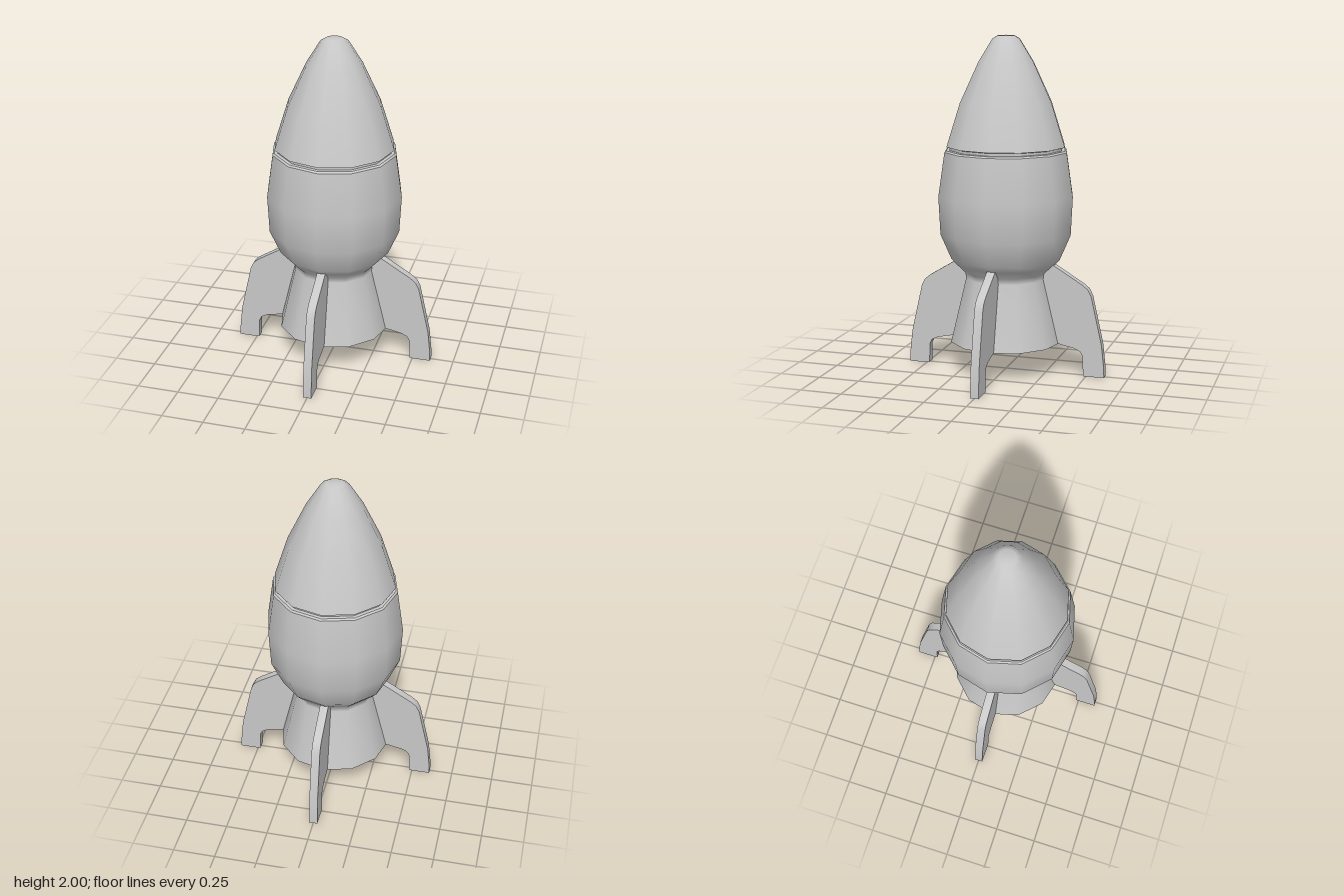
import * as THREE from 'three';
import { toCreasedNormals } from 'three/addons/utils/BufferGeometryUtils.js';

export function createModel() {
  const rocket = new THREE.Group();
  rocket.name = 'rocket';
  const grey = new THREE.MeshStandardMaterial({ color: 0xc8c8c8 });
  grey.name = 'grey';

  const add = (name, geometry) => {
    const mesh = new THREE.Mesh(geometry, grey);
    mesh.name = name;
    rocket.add(mesh);
    return mesh;
  };

  // Twelve-sided turned part; profile runs bottom to top as [radius, height]
  const turned = (name, profile) =>
    add(name, new THREE.LatheGeometry(profile.map(([r, y]) => new THREE.Vector2(r, y)), 12));

  turned('nozzleBase', [[0, 0.185], [0.336, 0.185]]);
  turned('hull', [
    [0.336, 0.185], [0.243, 0.57], [0.247, 0.605], [0.295, 0.652], [0.33, 0.69],
    [0.395, 0.84], [0.406, 1.065], [0.368, 1.325],
  ]);

  // Groove between hull and nose, kept in separate strips for sharp edges
  turned('hullRim', [[0.368, 1.325], [0.358, 1.334]]);
  turned('grooveFloor', [[0.358, 1.334], [0.338, 1.335]]);
  turned('grooveWall', [[0.338, 1.335], [0.338, 1.35]]);
  turned('noseUnderside', [[0.338, 1.35], [0.356, 1.355]]);

  turned('nose', [
    [0.356, 1.355], [0.275, 1.61], [0.165, 1.845], [0.082, 1.978], [0.05, 1.997], [0, 2],
  ]);

  // Fin outline in the radial plane; the inner edge is buried in the hull
  const outline = [
    [0.25, 0.185], [0.336, 0.185], [0.43, 0.165], [0.465, 0.148], [0.48, 0.12],
    [0.483, 0.005], [0.488, 0], [0.61, 0], [0.608, 0.06], [0.593, 0.196],
    [0.528, 0.485], [0.508, 0.525], [0.475, 0.552], [0.3, 0.658], [0.2, 0.658], [0.2, 0.5],
  ];
  const thickness = 0.05;
  const finShape = new THREE.Shape(outline.map(([x, y]) => new THREE.Vector2(x, y)));
  const finGeometry = toCreasedNormals(
    new THREE.ExtrudeGeometry(finShape, { depth: thickness, bevelEnabled: false })
      .translate(0, 0, -thickness / 2),
    0.6
  );
  ['leftFin', 'backFin', 'rightFin', 'frontFin'].forEach((name, i) => {
    add(name, finGeometry).rotation.y = (i * Math.PI) / 2;
  });

  return rocket;
}
